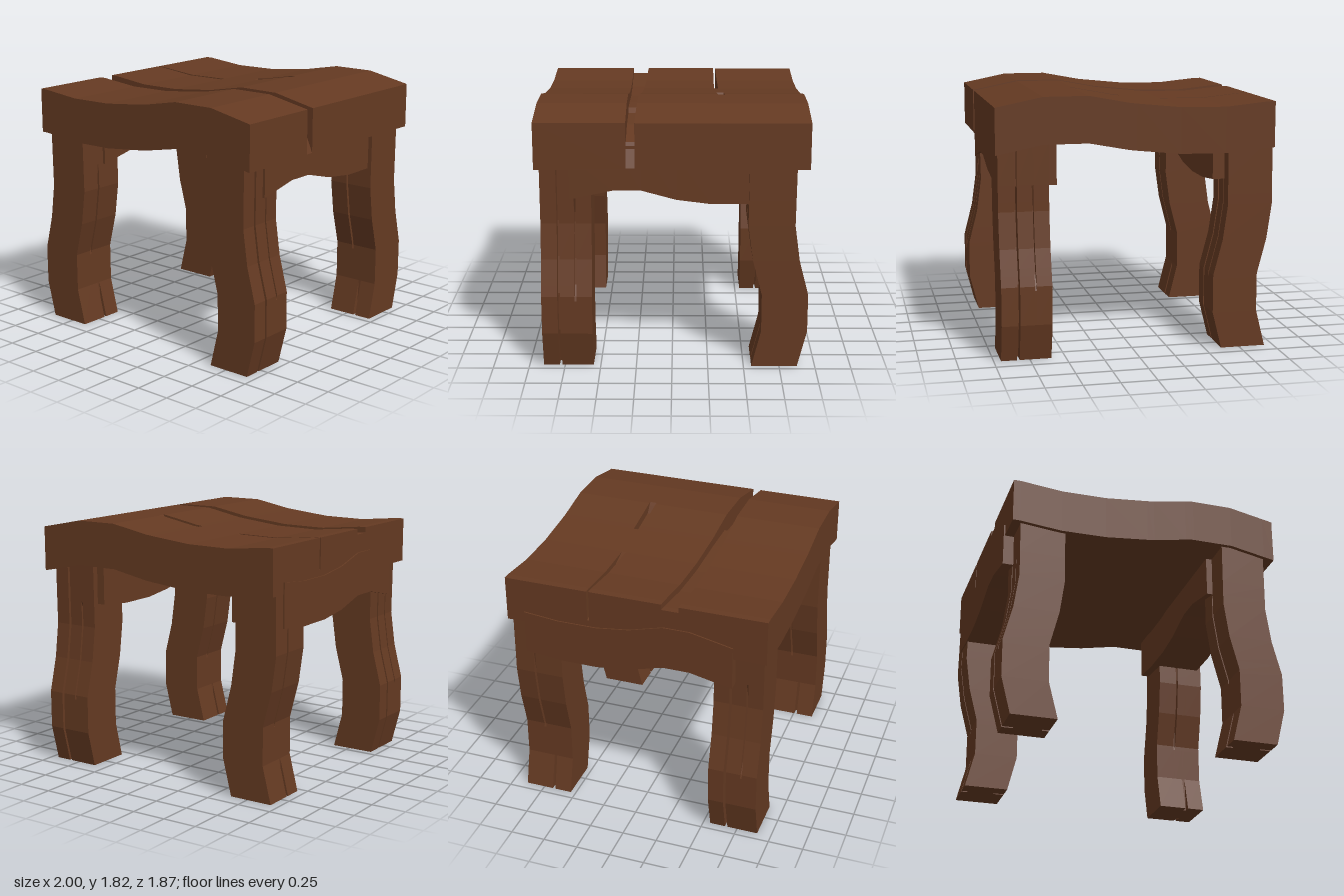
import * as THREE from 'three';

const wood = new THREE.MeshStandardMaterial({ color: 0x653a22, flatShading: true });

// Piecewise linear lookup in a short list of [t, value] pairs
function at(t, keys) {
  if (t <= keys[0][0]) return keys[0][1];
  for (let i = 1; i < keys.length; i++) {
    const [t0, v0] = keys[i - 1], [t1, v1] = keys[i];
    if (t <= t1) return v0 + (v1 - v0) * (t - t0) / (t1 - t0);
  }
  return keys[keys.length - 1][1];
}

// Joins counter-clockwise sections along an axis and caps both ends
function loft(stations, section, place) {
  const pos = [];
  const rings = stations.map((t) => section(t));
  const put = (r, i) => pos.push(...place(stations[r], ...rings[r][i]));
  const n = rings[0].length;
  for (let r = 0; r + 1 < rings.length; r++) {
    for (let i = 0; i < n; i++) {
      const j = (i + 1) % n;
      put(r, i); put(r, j); put(r + 1, j);
      put(r, i); put(r + 1, j); put(r + 1, i);
    }
  }
  for (const r of [0, rings.length - 1]) {
    const outline = rings[r].map(([u, v]) => new THREE.Vector2(u, v));
    for (const [a, b, c] of THREE.ShapeUtils.triangulateShape(outline, [])) {
      put(r, a); put(r, r ? b : c); put(r, r ? c : b);
    }
  }
  const geo = new THREE.BufferGeometry();
  geo.setAttribute('position', new THREE.Float32BufferAttribute(pos, 3));
  geo.computeVertexNormals();
  return geo;
}

function add(group, name, geometry) {
  const mesh = new THREE.Mesh(geometry, wood);
  mesh.name = name;
  group.add(mesh);
  return mesh;
}

// Wavy seat slab with a long plank gap and two shorter cracks
function seatGeometry() {
  const top = [[-0.97, 1.75], [-0.92, 1.75], [-0.62, 1.72], [-0.34, 1.72], [0.05, 1.76],
    [0.34, 1.815], [0.65, 1.815], [0.975, 1.75]];
  const crackDepth = [[-0.97, 0.22], [-0.62, 0.1], [-0.3, 0], [0.01, 0], [0.06, 0.06], [0.3, 0.06], [0.36, 0]];
  const crackWidth = [[-0.97, 0.015], [-0.62, 0.025], [-0.3, 0.03], [0.01, 0.05], [0.36, 0.05]];
  const gapDepth = [[-0.97, 0.04], [0.27, 0.07], [0.34, 0.14], [0.9, 0.16], [0.975, 0.31]];
  const stations = [-0.97, -0.92, -0.62, -0.3, 0.01, 0.06, 0.3, 0.34, 0.36, 0.65, 0.9, 0.975];
  const section = (x) => {
    const y = at(x, top), pts = [[y - 0.32, -0.93], [y, -0.93]];
    const slot = (z0, z1, d) => pts.push([y, z0], [y - d, z0], [y - d, z1], [y, z1]);
    const crackZ = x < 0 ? -0.325 : -0.345, w = at(x, crackWidth) / 2;
    slot(crackZ - w, crackZ + w, at(x, crackDepth));
    slot(at(x, [[-0.97, 0.2], [0.975, 0.25]]), at(x, [[-0.97, 0.32], [0.975, 0.31]]), at(x, gapDepth));
    pts.push([y, 0.93], [y - 0.32, 0.93]);
    return pts;
  };
  return loft(stations, section, (x, y, z) => [x, y, z]);
}

// Crooked leg bulging towards local +x, with splits in the two side faces
function legGeometry() {
  const bend = [[0, 0], [0.26, 0.065], [0.53, 0.065], [0.78, 0], [1.03, -0.035], [1.5, -0.03]];
  const sideSplit = [[0.5, 0], [0.6, 0.04], [1.1, 0.04], [1.21, 0]];
  const footSplit = [[0, 0.05], [0.26, 0]];
  const upperSplit = [[0.5, 0], [0.65, 0.04], [1.03, 0.03], [1.21, 0]];
  const stations = [0, 0.26, 0.5, 0.53, 0.6, 0.65, 0.78, 1.03, 1.1, 1.21, 1.5];
  const hx = 0.16, hz = 0.175;
  const section = (y) => {
    const c = at(y, bend), pts = [];
    const slot = (side, z, w, d) => {
      const x = c + side * hx, h = side * w / 2;
      pts.push([z + h, x], [z + h, x - side * d], [z - h, x - side * d], [z - h, x]);
    };
    pts.push([-hz, c - hx]);
    slot(-1, -0.03, 0.015, at(y, upperSplit));
    slot(-1, 0.04, 0.02, at(y, footSplit));
    pts.push([hz, c - hx], [hz, c + hx]);
    slot(1, 0.055, 0.018, 0.08);
    slot(1, -0.062, 0.012, at(y, sideSplit));
    pts.push([-hz, c + hx]);
    return pts;
  };
  return loft(stations, section, (y, z, x) => [x, y, z]);
}

// Wavy side rail, thick in x
function railGeometry(x0, x1) {
  const low = [[-0.8, 1.2], [-0.55, 1.175], [-0.27, 1.175], [-0.03, 1.205], [0.21, 1.27], [0.4, 1.27], [0.7, 1.205]];
  const section = (z) => {
    const y = at(z, low);
    return [[x0, y], [x1, y], [x1, y + 0.31], [x0, y + 0.31]];
  };
  return loft(low.map(([z]) => z), section, (z, x, y) => [x, y, z]);
}

export function createModel() {
  const model = new THREE.Group();
  model.name = 'stool';
  add(model, 'seat', seatGeometry());
  add(model, 'rightRail', railGeometry(-0.98, -0.565));
  add(model, 'leftRail', railGeometry(0.54, 0.92));

  // The same leg, turned differently at each corner
  const leg = legGeometry();
  for (const [name, x, z, turn] of [
    ['frontLeftLeg', 0.775, 0.725, 0],
    ['frontRightLeg', -0.778, 0.725, Math.PI],
    ['backLeftLeg', 0.775, -0.715, Math.PI / 2],
    ['backRightLeg', -0.778, -0.713, 0],
  ]) {
    const mesh = add(model, name, leg);
    mesh.position.set(x, 0, z);
    mesh.rotation.y = turn;
  }
  return model;
}
